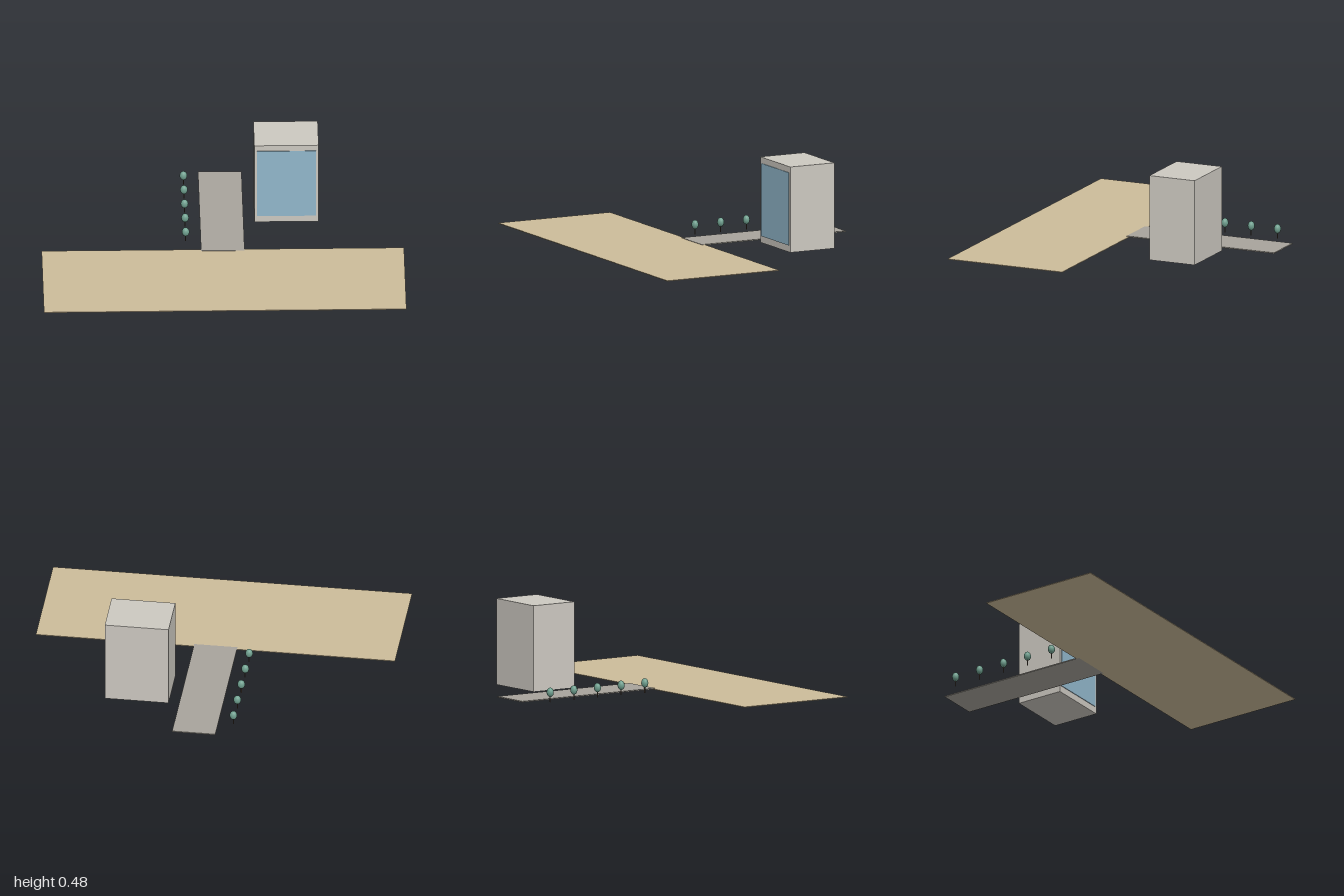
import * as THREE from 'three';

const material = (name, color) => {
  const m = new THREE.MeshStandardMaterial({ color });
  m.name = name;
  return m;
};

export function createModel() {
  const group = new THREE.Group();
  const sand = material('sand', 0xcdbc9a);
  const paving = material('paving', 0xa8a49c);
  const concrete = material('concrete', 0xcdc9c1);
  const glass = material('glass', 0x92b8cc);
  const leaf = material('leaf', 0x6fa08f);
  const bark = material('bark', 0x5a4a3c);

  // Box given by its limits on each axis
  const box = (name, mat, [x0, x1], [y0, y1], [z0, z1]) => {
    const mesh = new THREE.Mesh(new THREE.BoxGeometry(x1 - x0, y1 - y0, z1 - z0), mat);
    mesh.position.set((x0 + x1) / 2, (y0 + y1) / 2, (z0 + z1) / 2);
    mesh.name = name;
    group.add(mesh);
  };

  // Ground: wide sand strip and the road that runs back from it
  box('beach', sand, [-1, 1], [0, 0.004], [0.09, 0.787]);
  box('road', paving, [-0.12, 0.12], [0, 0.006], [-0.79, 0.108]);

  // Building with a large glazed front
  box('building', concrete, [0.18, 0.535], [0, 0.48], [-0.5, -0.225]);
  box('window', glass, [0.196, 0.52], [0.038, 0.446], [-0.225, -0.221]);

  // Row of small trees along the road
  const crownShape = new THREE.SphereGeometry(1, 16, 12).scale(0.021, 0.026, 0.019);
  const trunkShape = new THREE.CylinderGeometry(0.003, 0.003, 0.036, 8);
  for (let i = 0; i < 5; i++) {
    const tree = new THREE.Group();
    tree.name = 'tree';
    const trunk = new THREE.Mesh(trunkShape, bark);
    trunk.name = 'trunk';
    trunk.position.y = 0.018;
    const crown = new THREE.Mesh(crownShape, leaf);
    crown.name = 'crown';
    crown.position.y = 0.055;
    tree.add(trunk, crown);
    tree.position.set(-0.203, 0, -0.66 + i * 0.16);
    group.add(tree);
  }
  return group;
}
